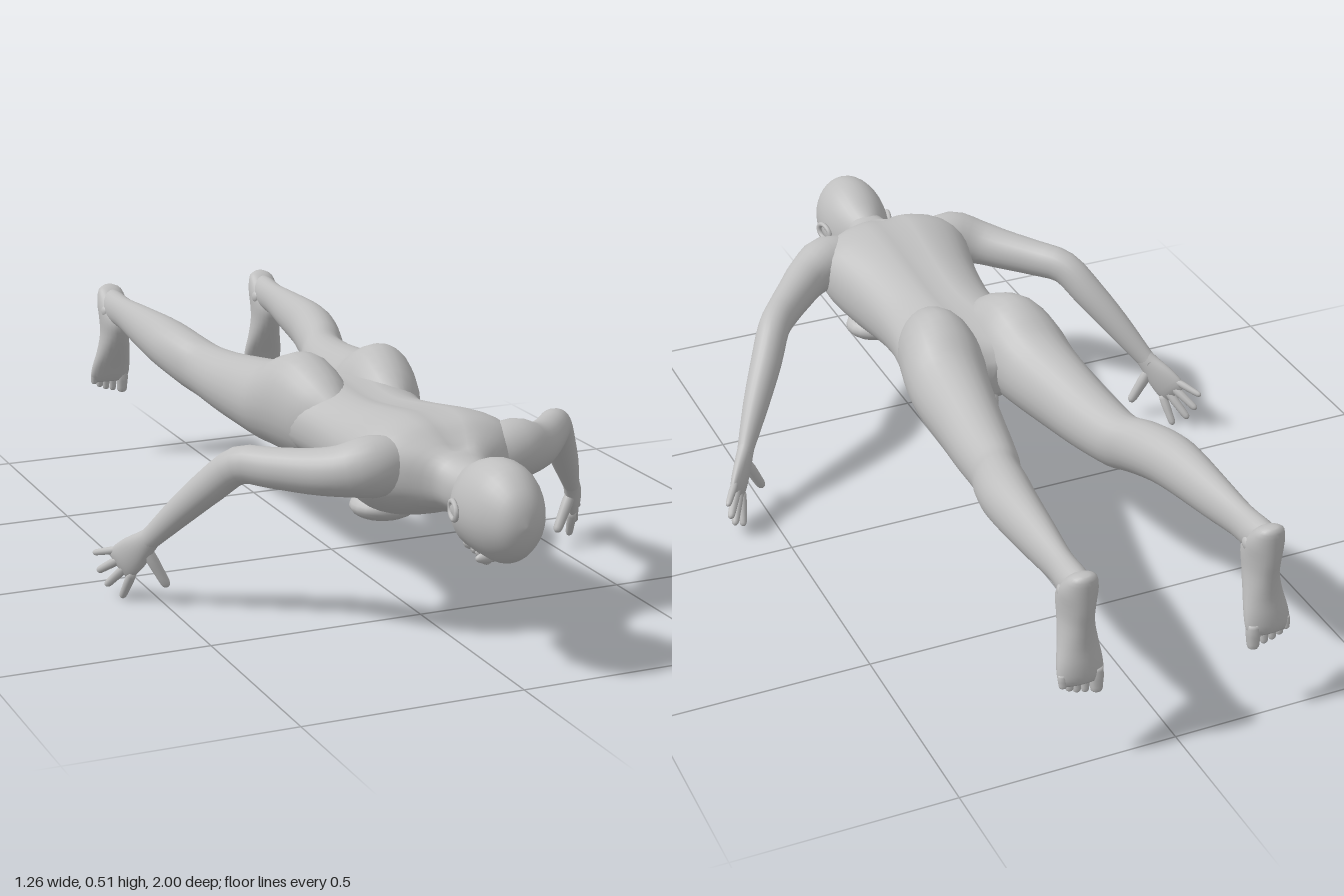
import * as THREE from 'three';

const skin = new THREE.MeshStandardMaterial({ color: 0xbfbfbf });
skin.name = 'plain grey';

const UP = new THREE.Vector3(0, 1, 0);

// Catmull-Rom interpolation of a table of sections
function refine(rows, sub) {
  const out = [];
  for (let i = 0; i < rows.length - 1; i++) {
    const p0 = rows[Math.max(i - 1, 0)], p1 = rows[i], p2 = rows[i + 1], p3 = rows[Math.min(i + 2, rows.length - 1)];
    for (let s = 0; s < sub; s++) {
      const t = s / sub;
      out.push(p1.map((_, k) => 0.5 * (2 * p1[k] + (p2[k] - p0[k]) * t
        + (2 * p0[k] - 5 * p1[k] + 4 * p2[k] - p3[k]) * t * t
        + (3 * p1[k] - p0[k] - 3 * p2[k] + p3[k]) * t * t * t)));
    }
  }
  out.push(rows[rows.length - 1]);
  return out;
}

// Closed skin over sections [x, y, z, a, b]; b is the radius along ref, a the radius across it
function loft(name, rows, { ref = UP, dir = null, seg = 24, sub = 3, power = 1, warp = null } = {}) {
  const secs = refine(rows, sub);
  const pts = secs.map(s => new THREE.Vector3(s[0], s[1], s[2]));
  const pos = [], index = [], last = secs.length - 1;
  const shape = c => Math.sign(c) * Math.pow(Math.abs(c), power);
  secs.forEach((s, i) => {
    const t = dir ? dir.clone() : pts[Math.min(i + 1, last)].clone().sub(pts[Math.max(i - 1, 0)]).normalize();
    const u = ref.clone().cross(t).normalize(), v = t.clone().cross(u);
    for (let j = 0; j < seg; j++) {
      const w = j / seg * Math.PI * 2;
      const p = pts[i].clone().addScaledVector(u, s[3] * shape(Math.cos(w))).addScaledVector(v, s[4] * shape(Math.sin(w)));
      if (warp) warp(p, Math.sin(w));
      pos.push(p.x, p.y, p.z);
      if (i < last) {
        const a = i * seg + j, b = i * seg + (j + 1) % seg;
        index.push(a, b, a + seg, b, b + seg, a + seg);
      }
    }
  });
  // end caps
  const c0 = pos.length / 3;
  pos.push(...pts[0].toArray(), ...pts[last].toArray());
  for (let j = 0; j < seg; j++) {
    const k = (j + 1) % seg;
    index.push(c0, k, j, c0 + 1, last * seg + j, last * seg + k);
  }
  const g = new THREE.BufferGeometry();
  g.setAttribute('position', new THREE.Float32BufferAttribute(pos, 3));
  g.setIndex(index);
  g.computeVertexNormals();
  const m = new THREE.Mesh(g, skin);
  m.name = name;
  return m;
}

// Sections along z given as [z, centre x, half width, top y, bottom y]
const along = (rows, s = 1) => rows.map(([z, x, w, t, b]) => [s * x, (t + b) / 2, z, w, (t - b) / 2]);

function blob(name, x, y, z, rx, ry, rz, tilt = 0) {
  const m = new THREE.Mesh(new THREE.SphereGeometry(1, 20, 14), skin);
  m.name = name;
  m.position.set(x, y, z);
  m.scale.set(rx, ry, rz);
  m.rotation.x = tilt;
  return m;
}

// Tapered finger or toe with a rounded tip
function digit(name, from, to, r, s) {
  const a = new THREE.Vector3(...from), b = new THREE.Vector3(...to);
  const rows = [[0, 0.9], [0.3, 1], [0.6, 0.9], [0.88, 0.8], [0.97, 0.5], [1, 0.1]].map(([t, k]) => {
    const p = a.clone().lerp(b, t);
    return [s * p.x, p.y, p.z, r * k, r * k];
  });
  return loft(name, rows, { ref: new THREE.Vector3(0, 0.2, 1), seg: 10, sub: 2 });
}

function makeArm(s) {
  const g = new THREE.Group();
  g.name = s > 0 ? 'leftArm' : 'rightArm';
  g.add(loft('armSkin', [
    [0.1, 0.385, 0.6, 0.05, 0.06], [0.17, 0.393, 0.605, 0.064, 0.068], [0.23, 0.382, 0.575, 0.054, 0.056],
    [0.28, 0.374, 0.525, 0.047, 0.05], [0.34, 0.37, 0.455, 0.041, 0.045], [0.388, 0.364, 0.392, 0.038, 0.042],
    [0.43, 0.31, 0.335, 0.037, 0.04], [0.48, 0.24, 0.275, 0.031, 0.034], [0.53, 0.165, 0.215, 0.02, 0.025],
    [0.54, 0.15, 0.2, 0.018, 0.024],
  ].map(r => [s * r[0], ...r.slice(1)])));
  // palm and fanned fingers
  const across = new THREE.Vector3(0.38, 0.81, -0.43);
  g.add(loft('palm', [
    [0.52, 0.18, 0.227, 0.019, 0.024], [0.535, 0.157, 0.208, 0.019, 0.026], [0.557, 0.123, 0.178, 0.018, 0.038],
    [0.576, 0.095, 0.153, 0.014, 0.041], [0.585, 0.082, 0.141, 0.005, 0.034],
  ].map(r => [s * r[0], ...r.slice(1)]), { ref: new THREE.Vector3(s * across.x, across.y, across.z) }));
  const tips = [[0.575, 0.001, 0.13], [0.604, 0.026, 0.105], [0.618, 0.058, 0.09], [0.625, 0.1, 0.083]];
  tips.forEach((tip, i) => {
    const base = new THREE.Vector3(0.573, 0.096, 0.156).addScaledVector(across, -0.031 + i * 0.0205);
    g.add(digit('finger', base.toArray(), tip, i === 3 ? 0.009 : 0.011, s));
  });
  g.add(digit('thumb', [0.54, 0.135, 0.2], [0.494, 0.042, 0.215], 0.014, s));
  return g;
}

function makeLeg(s) {
  const g = new THREE.Group();
  g.name = s > 0 ? 'leftLeg' : 'rightLeg';
  // buttock, thigh, knee, calf and ankle
  g.add(loft('legSkin', along([
    [0.23, 0.075, 0.03, 0.42, 0.3], [0.16, 0.084, 0.074, 0.474, 0.272], [0.07, 0.095, 0.092, 0.51, 0.264],
    [0, 0.103, 0.099, 0.495, 0.266], [-0.07, 0.113, 0.092, 0.464, 0.266], [-0.2, 0.128, 0.078, 0.444, 0.272],
    [-0.3, 0.14, 0.07, 0.432, 0.28], [-0.4, 0.154, 0.06, 0.429, 0.292], [-0.46, 0.174, 0.058, 0.442, 0.306],
    [-0.54, 0.191, 0.059, 0.455, 0.325], [-0.62, 0.2, 0.053, 0.46, 0.336], [-0.75, 0.206, 0.041, 0.457, 0.352],
    [-0.86, 0.211, 0.031, 0.453, 0.368], [-0.93, 0.214, 0.033, 0.457, 0.372], [-0.975, 0.215, 0.026, 0.458, 0.39],
  ], s), { dir: new THREE.Vector3(0, 0, -1) }));
  // foot hanging down, sections [y, centre x, half width, instep z, sole z]
  const foot = [
    [0.466, 0.215, 0.01, -0.975, -0.99], [0.455, 0.215, 0.03, -0.95, -0.998], [0.42, 0.215, 0.039, -0.915, -1],
    [0.38, 0.215, 0.038, -0.885, -0.999], [0.34, 0.215, 0.037, -0.893, -0.994], [0.29, 0.216, 0.044, -0.92, -0.993],
    [0.25, 0.218, 0.051, -0.944, -0.998], [0.22, 0.219, 0.052, -0.961, -1], [0.204, 0.219, 0.044, -0.972, -0.997],
  ].map(([y, x, w, f, b]) => [s * x, y, (f + b) / 2, w, (f - b) / 2]);
  g.add(loft('foot', foot, { ref: new THREE.Vector3(0, 0, 1), dir: new THREE.Vector3(0, -1, 0) }));
  [[0.184, 0.168], [0.21, 0.175], [0.229, 0.18], [0.246, 0.188], [0.261, 0.198]].forEach(([x, y], i) =>
    g.add(digit('toe', [x, 0.23, -0.981], [x, y, -0.986], i ? 0.0105 : 0.0165, s)));
  for (const k of [-1, 1]) g.add(blob('ankleBone', s * (0.214 + k * 0.029), 0.405, -0.935, 0.01, 0.016, 0.016));
  return g;
}

function makeHead() {
  const g = new THREE.Group();
  g.name = 'head';
  // skull, narrowing towards the face
  g.add(loft('skull', along([
    [1, 0, 0.004, 0.355, 0.345], [0.992, 0, 0.032, 0.392, 0.31], [0.97, 0, 0.056, 0.426, 0.277],
    [0.925, 0, 0.078, 0.457, 0.252], [0.87, 0, 0.086, 0.464, 0.244], [0.82, 0, 0.081, 0.452, 0.245],
    [0.78, 0, 0.068, 0.434, 0.242], [0.75, 0, 0.053, 0.42, 0.246], [0.735, 0, 0.04, 0.41, 0.28],
  ]), {
    dir: new THREE.Vector3(0, 0, -1), seg: 32,
    warp: (p, v) => { if (v < 0) p.x *= 1 - 0.15 * v * v; },
  }));
  g.add(blob('nose', 0, 0.241, 0.836, 0.01, 0.013, 0.03, -0.25));
  g.add(blob('noseTip', 0, 0.232, 0.82, 0.014, 0.015, 0.011));
  g.add(blob('upperLip', 0, 0.243, 0.793, 0.023, 0.011, 0.006));
  g.add(blob('lowerLip', 0, 0.243, 0.782, 0.02, 0.011, 0.006));
  g.add(blob('chin', 0, 0.25, 0.757, 0.024, 0.018, 0.014));
  for (const s of [1, -1]) {
    g.add(blob('brow', s * 0.032, 0.256, 0.882, 0.026, 0.012, 0.01));
    g.add(blob('eye', s * 0.032, 0.262, 0.86, 0.015, 0.013, 0.009));
    // ear rim around a shallow bowl
    const rim = new THREE.Mesh(new THREE.TorusGeometry(0.019, 0.006, 8, 20), skin);
    rim.name = 'earRim';
    rim.position.set(s * 0.089, 0.353, 0.838);
    rim.rotation.y = Math.PI / 2 + s * 0.2;
    rim.scale.set(1.35, 1, 1);
    g.add(rim, blob('earBowl', s * 0.083, 0.353, 0.836, 0.006, 0.018, 0.024));
  }
  return g;
}

export function createModel() {
  const model = new THREE.Group();
  model.name = 'proneFigure';
  // neck, back and belly, with a groove along the spine
  model.add(loft('torso', along([
    [0.81, 0, 0.045, 0.42, 0.32], [0.745, 0, 0.057, 0.42, 0.306], [0.7, 0, 0.075, 0.434, 0.303],
    [0.66, 0, 0.135, 0.458, 0.295], [0.62, 0, 0.18, 0.48, 0.278], [0.57, 0, 0.195, 0.488, 0.258],
    [0.52, 0, 0.186, 0.485, 0.244], [0.46, 0, 0.172, 0.476, 0.239], [0.4, 0, 0.16, 0.466, 0.243],
    [0.3, 0, 0.148, 0.452, 0.254], [0.22, 0, 0.15, 0.45, 0.259], [0.14, 0, 0.164, 0.456, 0.262],
    [0.07, 0, 0.17, 0.455, 0.268], [0, 0, 0.11, 0.44, 0.285], [-0.035, 0, 0.03, 0.4, 0.32],
  ]), {
    dir: new THREE.Vector3(0, 0, -1), seg: 40, power: 0.88,
    warp: (p, v) => { if (v > 0 && p.z < 0.7) p.y -= 0.012 * Math.exp(-((p.x / 0.025) ** 2)) * v; },
  }));
  model.add(blob('groin', 0, 0.292, 0.0, 0.026, 0.035, 0.045));
  model.add(makeHead());
  for (const s of [1, -1]) {
    model.add(blob('chestMuscle', s * 0.083, 0.266, 0.485, 0.08, 0.035, 0.068));
    model.add(makeArm(s), makeLeg(s));
  }
  return model;
}
